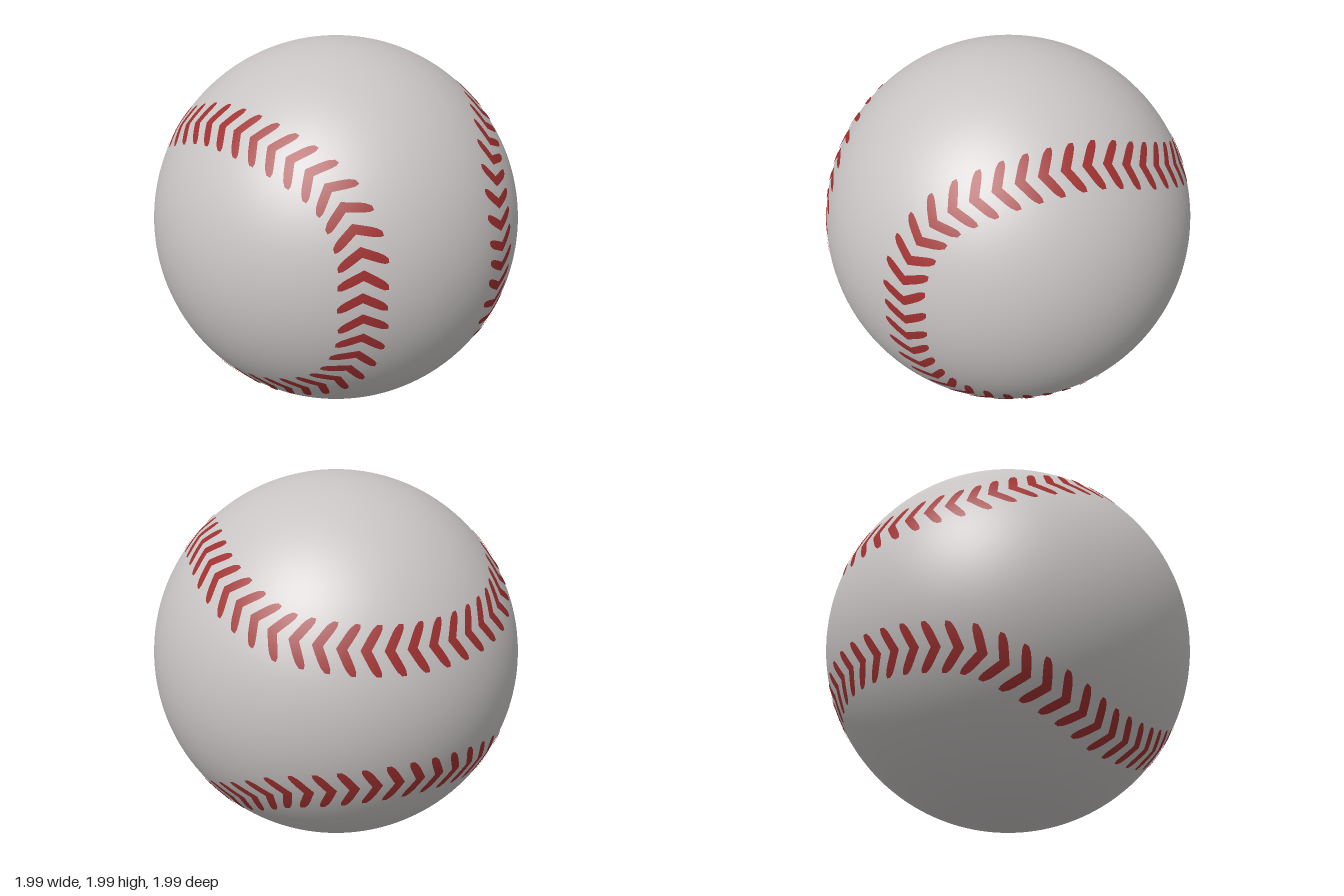
import * as THREE from 'three';

const PLATE_RADIUS = 1.0;
const BALL_RADIUS = 0.996;
const STITCHES = 100;

// One quarter of the seam, from the front to the back, relative to the ball's centre
const QUARTER = [
  [0.425, 0, 0.905], [0.415, 0.2, 0.89], [0.43, 0.36, 0.83], [0.475, 0.51, 0.72],
  [0.595, 0.64, 0.48], [0.70, 0.695, 0.17], [0.73, 0.685, 0], [0.75, 0.59, -0.3],
  [0.66, 0.46, -0.6], [0.58, 0.41, -0.71], [0.38, 0.37, -0.85], [0.18, 0.35, -0.92],
  [0, 0.345, -0.94],
];

// Mirror the quarter four times into one closed curve
function seamCurve() {
  const place = (sx, sy) => QUARTER.map(([x, y, z]) => new THREE.Vector3(x * sx, y * sy, z).normalize());
  const points = [
    ...place(1, 1).slice(0, -1),
    ...place(-1, 1).reverse().slice(0, -1),
    ...place(-1, -1).slice(0, -1),
    ...place(1, -1).reverse().slice(0, -1),
  ];
  const curve = new THREE.CatmullRomCurve3(points, true, 'centripetal');
  curve.arcLengthDivisions = 1000;
  return curve;
}

// All chevron stitches as thin curved faces lying on the ball
function stitchGeometry() {
  const curve = seamCurve();
  const positions = [], indices = [];
  const steps = 12, halfWidth = 0.122;
  for (let i = 0; i < STITCHES; i++) {
    const t = i / STITCHES;
    const centre = curve.getPointAt(t).normalize();
    const along = curve.getTangentAt(t);
    along.addScaledVector(centre, -along.dot(centre)).normalize();
    const across = new THREE.Vector3().crossVectors(centre, along);
    const first = positions.length / 3;
    for (let k = 0; k <= steps; k++) {
      const f = (k / steps) * 2 - 1;
      const bend = -0.033 + 0.066 * Math.abs(f);
      const half = 0.026 * Math.pow(1 - Math.pow(Math.abs(f), 6) * 0.8, 0.5);
      for (const side of [-1, 1]) {
        const p = centre.clone()
          .addScaledVector(along, bend + side * half)
          .addScaledVector(across, f * halfWidth)
          .setLength(PLATE_RADIUS);
        positions.push(p.x, p.y, p.z);
      }
      if (k < steps) {
        const a = first + k * 2;
        indices.push(a, a + 1, a + 3, a, a + 3, a + 2);
      }
    }
  }
  const geometry = new THREE.BufferGeometry();
  geometry.setAttribute('position', new THREE.Float32BufferAttribute(positions, 3));
  // Points lie on a unit sphere, so they are their own normals
  geometry.setAttribute('normal', new THREE.Float32BufferAttribute(positions, 3));
  geometry.setIndex(indices);
  return geometry;
}

export function createModel() {
  const leather = new THREE.MeshStandardMaterial({ color: 0xc8c4c3 });
  leather.name = 'leather';
  const thread = new THREE.MeshStandardMaterial({ color: 0xa03030 });
  thread.name = 'redThread';

  const model = new THREE.Group();
  model.name = 'baseball';

  const ball = new THREE.Mesh(new THREE.SphereGeometry(BALL_RADIUS, 128, 80), leather);
  ball.name = 'cover';
  ball.position.y = 1;

  const stitches = new THREE.Mesh(stitchGeometry(), thread);
  stitches.name = 'stitches';
  stitches.position.y = 1;

  model.add(ball, stitches);
  return model;
}
